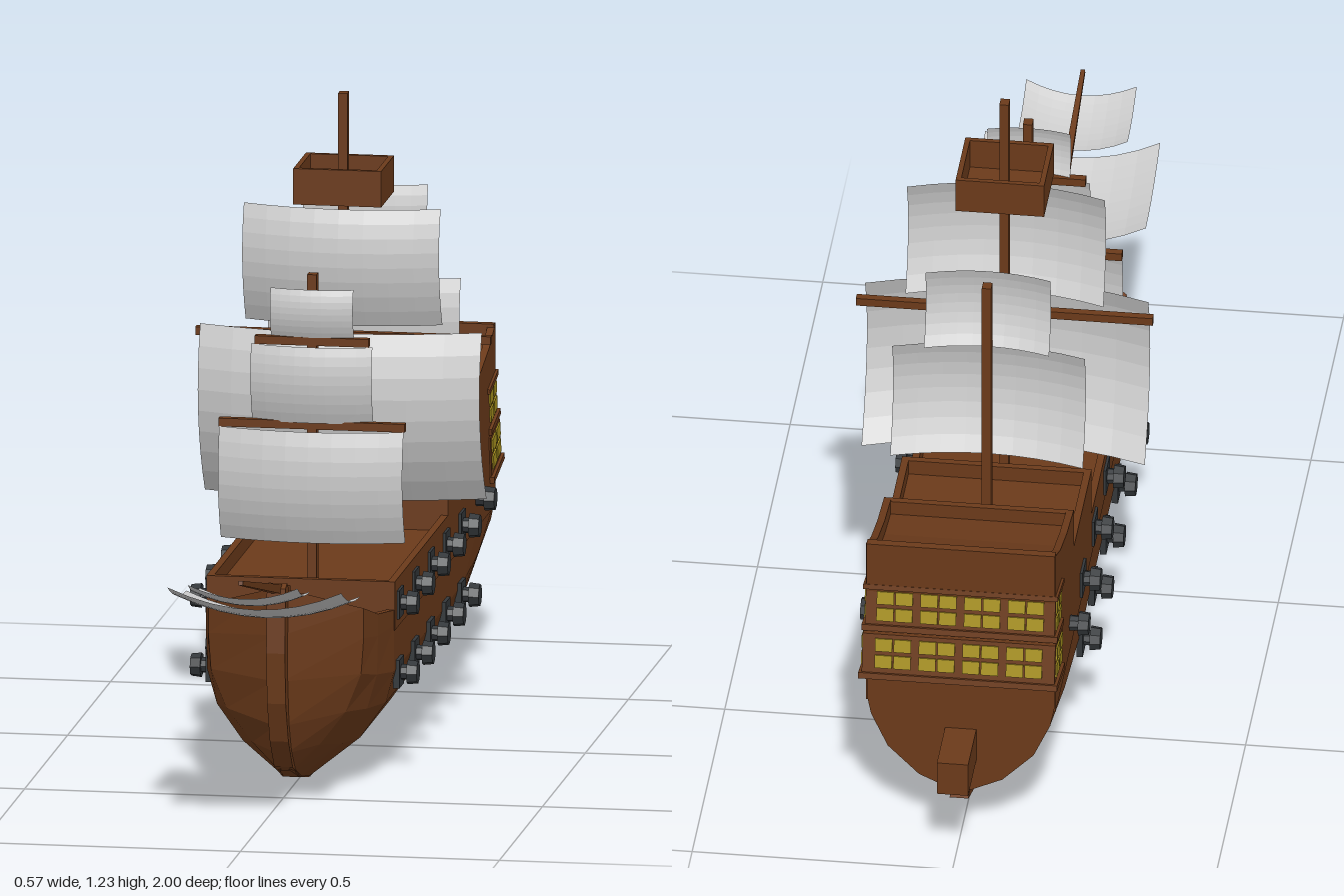
import * as THREE from 'three';

const mat = (color, extra = {}) => new THREE.MeshStandardMaterial({ color, flatShading: true, ...extra });
const wood = mat(0x6b3a1a);
const iron = mat(0x33373a);
const glass = mat(0xa8921f);
const cloth = mat(0xcccccc, { side: THREE.DoubleSide });

function add(parent, name, geometry, material = wood) {
  const mesh = new THREE.Mesh(geometry, material);
  mesh.name = name;
  parent.add(mesh);
  return mesh;
}

function box(parent, name, w, h, d, x, y, z, material = wood) {
  const mesh = add(parent, name, new THREE.BoxGeometry(w, h, d), material);
  mesh.position.set(x, y, z);
  return mesh;
}

// Side silhouette given as (z, y) points, extruded across the ship around x
function sideSlab(points, width, x = 0) {
  const shape = new THREE.Shape(points.map(([z, y]) => new THREE.Vector2(z, y)));
  const g = new THREE.ExtrudeGeometry(shape, { depth: width, bevelEnabled: false });
  return g.translate(0, 0, -width / 2).rotateY(-Math.PI / 2).translate(x, 0, 0);
}

// Hull stations: z, or one z per level, then (x, y) from keel to rail
const side = [[0.18, 0.3], [0.18, 0.33]];
const mid = [[0.015, 0], [0.115, 0.08], [0.165, 0.15], [0.18, 0.21], ...side];
const stern = [[0.015, 0.1], [0.08, 0.13], [0.14, 0.19], [0.172, 0.26], [0.18, 0.3], [0.18, 0.33]];
const stations = [
  [-0.87, stern],
  [-0.7, [[0.015, 0.045], [0.1, 0.1], [0.156, 0.17], [0.178, 0.235], ...side]],
  [-0.5, [[0.015, 0.02], [0.112, 0.085], [0.163, 0.155], [0.18, 0.215], ...side]],
  [-0.05, mid],
  [0.3, mid],
  [0.4, [[0.015, 0.02], [0.095, 0.088], [0.145, 0.158], [0.164, 0.225], [0.166, 0.3], [0.166, 0.343]]],
  [0.47, [[0.012, 0.045], [0.065, 0.1], [0.115, 0.165], [0.145, 0.24], [0.15, 0.31], [0.15, 0.368]]],
  [[0.48, 0.52, 0.55, 0.565, 0.565, 0.557], [[0.008, 0.05], [0.008, 0.09], [0.008, 0.15], [0.008, 0.24], [0.008, 0.33], [0.008, 0.42]]],
];

function hullGeometry() {
  const positions = [], index = [];
  let n = 0;
  for (const [z, levels] of stations) {
    const half = levels.map(([x, y], j) => [x, y, Array.isArray(z) ? z[j] : z]);
    // bulwark inside and deck
    const [x, y, zt] = half[half.length - 1];
    const inner = Math.max(0.001, x - 0.013);
    half.push([inner, y, zt - 0.005], [inner, y - 0.03, zt - 0.005]);
    const ring = [...half, ...half.map(([a, b, c]) => [-a, b, c]).reverse()];
    n = ring.length;
    ring.forEach((p) => positions.push(...p));
  }
  for (let i = 0; i < stations.length - 1; i++) {
    for (let j = 0; j < n; j++) {
      const a = i * n + j, c = i * n + ((j + 1) % n);
      index.push(a, c, a + n, c, c + n, a + n);
    }
  }
  const g = new THREE.BufferGeometry();
  g.setAttribute('position', new THREE.Float32BufferAttribute(positions, 3));
  g.setIndex(index);
  const flat = g.toNonIndexed();
  flat.computeVertexNormals();
  return flat;
}

// Billowing sail: profile is (y, z) at head, middle and foot; edges shift by (ey, ez)
function sail(parent, name, halfWidth, [p0, p1, p2], ey, ez) {
  const g = new THREE.PlaneGeometry(2 * halfWidth, 1, 8, 8);
  const pos = g.attributes.position;
  for (let i = 0; i < pos.count; i++) {
    const t = 0.5 - pos.getY(i);
    const u = (pos.getX(i) / halfWidth) ** 2;
    const at = (k) => p0[k] * (1 - t) * (1 - 2 * t) + p1[k] * 4 * t * (1 - t) + p2[k] * t * (2 * t - 1);
    pos.setY(i, at(0) + ey * u);
    pos.setZ(i, at(1) + ez * u);
  }
  g.computeVertexNormals();
  add(parent, name, g, cloth);
}

function cannon(parent, s, y, z, framed) {
  const g = new THREE.Group();
  g.name = 'cannon';
  if (framed) box(g, 'gunPort', 0.012, 0.055, 0.055, 0.181, 0, 0, iron);
  const parts = [['barrel', 0.016, 0.05, 0.185], ['muzzle', 0.024, 0.02, 0.209]];
  for (const [name, r, len, x] of parts) {
    const m = add(g, name, new THREE.CylinderGeometry(r * 0.9, r, len, 8).rotateZ(-Math.PI / 2), iron);
    m.position.x = x;
  }
  g.position.set(0, y, z);
  if (s < 0) g.rotation.y = Math.PI;
  parent.add(g);
}

// Stern windows wrapping round the transom
function gallery(parent) {
  const g = new THREE.Group();
  g.name = 'sternGallery';
  for (const [y, h, w, d] of [[-0.045, 0.085, 0.37, 0.11], [0.048, 0.08, 0.364, 0.092]]) {
    box(g, 'galleryFrame', w, h, d, 0, y, 0);
    box(g, 'galleryLedge', w + 0.012, 0.012, d + 0.012, 0, y - h / 2, 0);
    for (const row of [-1, 1]) {
      const py = y + 0.004 + row * 0.017;
      for (let i = 0; i < 8; i++) {
        const px = (i - 3.5) * 0.042 + (i % 2 ? -0.003 : 0.003);
        box(g, 'sternPane', 0.033, 0.026, 0.006, px, py, -d / 2, glass);
      }
      for (const s of [-1, 1]) for (const c of [-1, 1])
        box(g, 'sidePane', 0.006, 0.026, d * 0.36, s * w / 2, py, c * d * 0.22, glass);
    }
  }
  box(g, 'galleryCap', 0.374, 0.01, 0.1, 0, 0.091, 0);
  g.position.set(0, 0.45, -0.846);
  g.rotation.x = 0.2;
  parent.add(g);
}

export function createModel() {
  const ship = new THREE.Group();
  ship.name = 'sailingShip';

  // Hull, keel with stem, transom
  add(ship, 'hull', hullGeometry());
  add(ship, 'keelAndStem', sideSlab([
    [0.565, 0.432], [0.585, 0.425], [0.592, 0.3], [0.582, 0.2], [0.55, 0.12], [0.5, 0.06], [0.4, 0.02], [0.3, 0],
    [-0.05, 0], [-0.6, 0.018], [-0.75, 0.04], [-0.9, 0.098], [-0.86, 0.115], [-0.7, 0.06], [-0.5, 0.03],
    [0.3, 0.012], [0.42, 0.04], [0.5, 0.1], [0.54, 0.2], [0.55, 0.42]], 0.036));
  const rim = [...stern, [0.181, 0.645]];
  const outline = [...rim, ...rim.map(([x, y]) => [-x, y]).reverse()].map((p) => new THREE.Vector2(...p));
  add(ship, 'transom', new THREE.ExtrudeGeometry(new THREE.Shape(outline), { depth: 0.017, bevelEnabled: false }))
    .position.z = -0.875;
  box(ship, 'rudderHead', 0.06, 0.07, 0.14, 0, 0.205, -0.93);

  // Stepped bulwarks and the decks between them
  const steps = [[0.3, 0.385], [-0.32, 0.385], [-0.32, 0.485], [-0.595, 0.485], [-0.595, 0.57], [-0.7, 0.585], [-0.8, 0.612], [-0.872, 0.645]];
  const profile = (drop) => [[0.3, 0.29], ...steps.map(([z, y]) => [z, y - drop]), [-0.872, 0.29]];
  for (const s of [-1, 1]) add(ship, 'bulwark', sideSlab(profile(0), 0.014, s * 0.175));
  add(ship, 'decks', sideSlab(profile(0.03), 0.34));
  for (const [z, y] of [[0.293, 0.385], [-0.327, 0.485], [-0.602, 0.57]])
    box(ship, 'deckRail', 0.34, 0.04, 0.014, 0, y - 0.02, z);
  gallery(ship);

  // Guns
  for (const s of [-1, 1]) {
    for (let i = 0; i < 5; i++)
      for (const y of [0.2, 0.335]) cannon(ship, s, y, 0.25 - i * 0.18, true);
    cannon(ship, s, 0.35, -0.65, false);
  }

  // Masts and yards
  for (const [name, z, base, top] of [['foreMast', 0.16, 0.34, 0.95], ['mainMast', -0.2, 0.34, 1.228], ['mizzenMast', -0.47, 0.44, 0.985]])
    box(ship, name, 0.018, top - base, 0.022, 0, (top + base) / 2, z);
  for (const [half, y, z] of [[0.18, 0.657, 0.165], [0.11, 0.82, 0.165], [0.285, 0.755, -0.2]])
    box(ship, 'yard', 2 * half, 0.016, 0.016, 0, y, z);

  // Lookout: open box on the main mast
  const nest = new THREE.Group();
  nest.name = 'lookout';
  box(nest, 'lookoutFloor', 0.16, 0.01, 0.14, 0, 1.027, 0);
  for (const s of [-1, 1]) {
    box(nest, 'lookoutSide', 0.01, 0.07, 0.15, s * 0.08, 1.057, 0);
    box(nest, 'lookoutEnd', 0.17, 0.07, 0.01, 0, 1.057, s * 0.07);
  }
  nest.position.z = -0.2;
  ship.add(nest);

  // Bowsprit
  const a = new THREE.Vector3(0, 0.4, 0.48), b = new THREE.Vector3(0, 0.522, 0.998);
  const sprit = add(ship, 'bowsprit', new THREE.CylinderGeometry(0.006, 0.014, a.distanceTo(b), 4).rotateY(Math.PI / 4));
  sprit.position.copy(a).lerp(b, 0.5);
  sprit.quaternion.setFromUnitVectors(new THREE.Vector3(0, 1, 0), b.clone().sub(a).normalize());

  // Sails
  sail(ship, 'mainSail', 0.272, [[0.775, -0.12], [0.61, -0.095], [0.44, -0.175]], 0, -0.05);
  sail(ship, 'mainTopsail', 0.19, [[1.01, -0.15], [0.9, -0.13], [0.78, -0.17]], 0, -0.035);
  sail(ship, 'foreSail', 0.178, [[0.65, 0.205], [0.54, 0.22], [0.43, 0.185]], 0, -0.03);
  sail(ship, 'foreTopsail', 0.117, [[0.812, 0.19], [0.74, 0.2], [0.662, 0.178]], 0, -0.02);
  sail(ship, 'foreTopgallant', 0.08, [[0.922, 0.18], [0.875, 0.188], [0.825, 0.172]], 0, -0.012);
  sail(ship, 'mizzenSail', 0.185, [[0.82, -0.42], [0.71, -0.405], [0.59, -0.45]], 0, -0.03);
  sail(ship, 'mizzenTopsail', 0.12, [[0.998, -0.44], [0.92, -0.43], [0.84, -0.46]], 0, -0.02);
  sail(ship, 'innerJib', 0.168, [[0.435, 0.83], [0.396, 0.72], [0.383, 0.61]], 0.04, 0.01);
  sail(ship, 'outerJib', 0.106, [[0.485, 0.97], [0.457, 0.9], [0.45, 0.83]], 0.025, 0.005);

  return ship;
}
